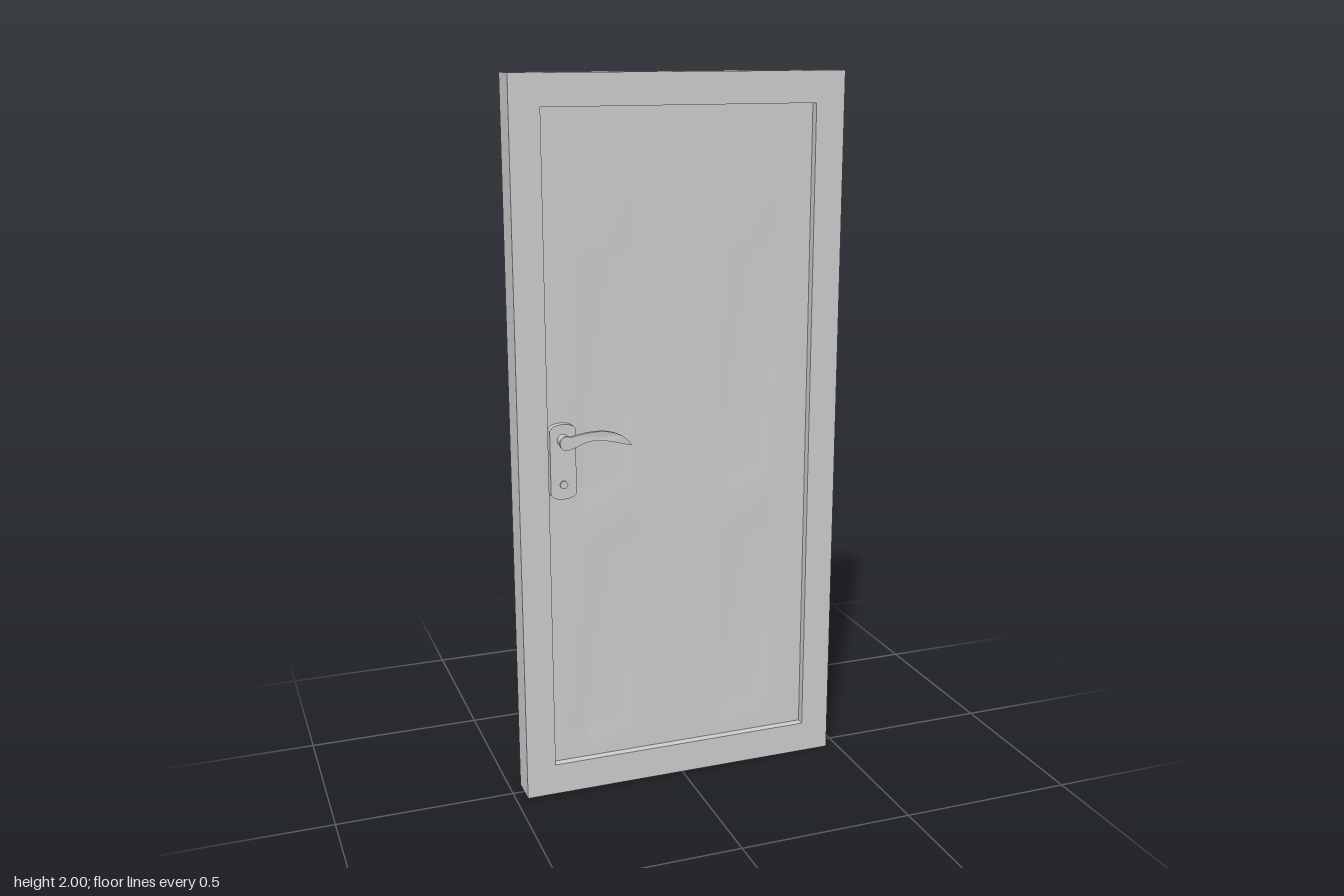
import * as THREE from 'three';

const material = new THREE.MeshStandardMaterial({ color: 0xcccccc });

function add(parent, name, geometry, x = 0, y = 0, z = 0) {
  const mesh = new THREE.Mesh(geometry, material);
  mesh.name = name;
  mesh.position.set(x, y, z);
  parent.add(mesh);
  return mesh;
}

// Extrusion centred on z = 0
function slice(shape, depth) {
  const g = new THREE.ExtrudeGeometry(shape, { depth, bevelEnabled: false, curveSegments: 16 });
  return g.translate(0, 0, -depth / 2);
}

function rect(Type, x0, y0, x1, y1) {
  return new Type([[x0, y0], [x1, y0], [x1, y1], [x0, y1]].map(p => new THREE.Vector2(...p)));
}

// Door face: a grid whose inner cells sink softly into four panels
function doorFace() {
  const xs = [-0.384, -0.29, -0.265, -0.145, -0.12, 0.12, 0.145, 0.265, 0.29, 0.384];
  const ys = [1.915, 1.55, 1.52, 0.91, 0.88, 0.74, 0.71, 0.2, 0.17, 0.09];
  const g = new THREE.PlaneGeometry(1, 1, xs.length - 1, ys.length - 1);
  const sunk = i => i % 4 === 2 || i % 4 === 3;
  ys.forEach((y, j) => xs.forEach((x, i) => {
    g.attributes.position.setXYZ(j * xs.length + i, x, y, sunk(i) && sunk(j) ? -0.005 : 0);
  }));
  g.computeVertexNormals();
  return g;
}

// Backplate with gently arched ends
function plateShape() {
  const s = new THREE.Shape();
  s.moveTo(-0.036, 0.89);
  s.quadraticCurveTo(-0.03, 0.876, 0, 0.875);
  s.quadraticCurveTo(0.03, 0.876, 0.036, 0.89);
  s.lineTo(0.036, 1.07);
  s.quadraticCurveTo(0.03, 1.084, 0, 1.085);
  s.quadraticCurveTo(-0.03, 1.084, -0.036, 1.07);
  s.closePath();
  return s;
}

// Curved lever, round at the root and thinning to its tip
function leverGeometry() {
  const s = new THREE.Shape();
  s.moveTo(0.01, -0.017);
  s.bezierCurveTo(0.04, -0.008, 0.05, 0.003, 0.085, 0.001);
  s.bezierCurveTo(0.12, -0.001, 0.15, -0.014, 0.183, -0.022);
  s.bezierCurveTo(0.165, 0.008, 0.13, 0.026, 0.085, 0.026);
  s.bezierCurveTo(0.05, 0.026, 0.03, 0.02, 0.01, 0.017);
  s.absarc(0, 0, 0.0195, 1.04, -1.04 + Math.PI * 2, false);
  const g = slice(s, 0.01);
  const p = g.attributes.position;
  for (let i = 0; i < p.count; i++) {
    const t = THREE.MathUtils.clamp((p.getX(i) - 0.12) / 0.063, 0, 1);
    p.setZ(i, p.getZ(i) * (1 - 0.8 * t));
  }
  g.computeVertexNormals();
  return g;
}

export function createModel() {
  const door = new THREE.Group();
  door.name = 'door';

  // Surrounding frame
  const outline = rect(THREE.Shape, -0.467, 0, 0.467, 2);
  outline.holes.push(rect(THREE.Path, -0.384, 0.09, 0.384, 1.915));
  add(door, 'frame', slice(outline, 0.087));

  // The same face and handle set on both sides
  const handleX = -0.342;
  for (const side of [1, -1]) {
    const face = add(door, side > 0 ? 'frontDoorFace' : 'backDoorFace', doorFace(), 0, 0, side * 0.02);
    if (side < 0) face.rotation.y = Math.PI;

    const handle = new THREE.Group();
    handle.name = side > 0 ? 'frontHandle' : 'backHandle';
    handle.position.x = handleX;
    door.add(handle);
    add(handle, 'backplate', slice(plateShape(), 0.022), 0, 0, side * 0.029);
    const spindle = new THREE.CylinderGeometry(0.016, 0.016, 0.045, 24).rotateX(Math.PI / 2);
    add(handle, 'spindle', spindle, 0, 1.042, side * 0.0595);
    add(handle, 'lever', leverGeometry(), 0, 1.042, side * 0.078);
    const lock = new THREE.CylinderGeometry(0.011, 0.011, 0.016, 20).rotateX(Math.PI / 2);
    add(handle, 'lockCylinder', lock, 0, 0.917, side * 0.038);
  }
  return door;
}
